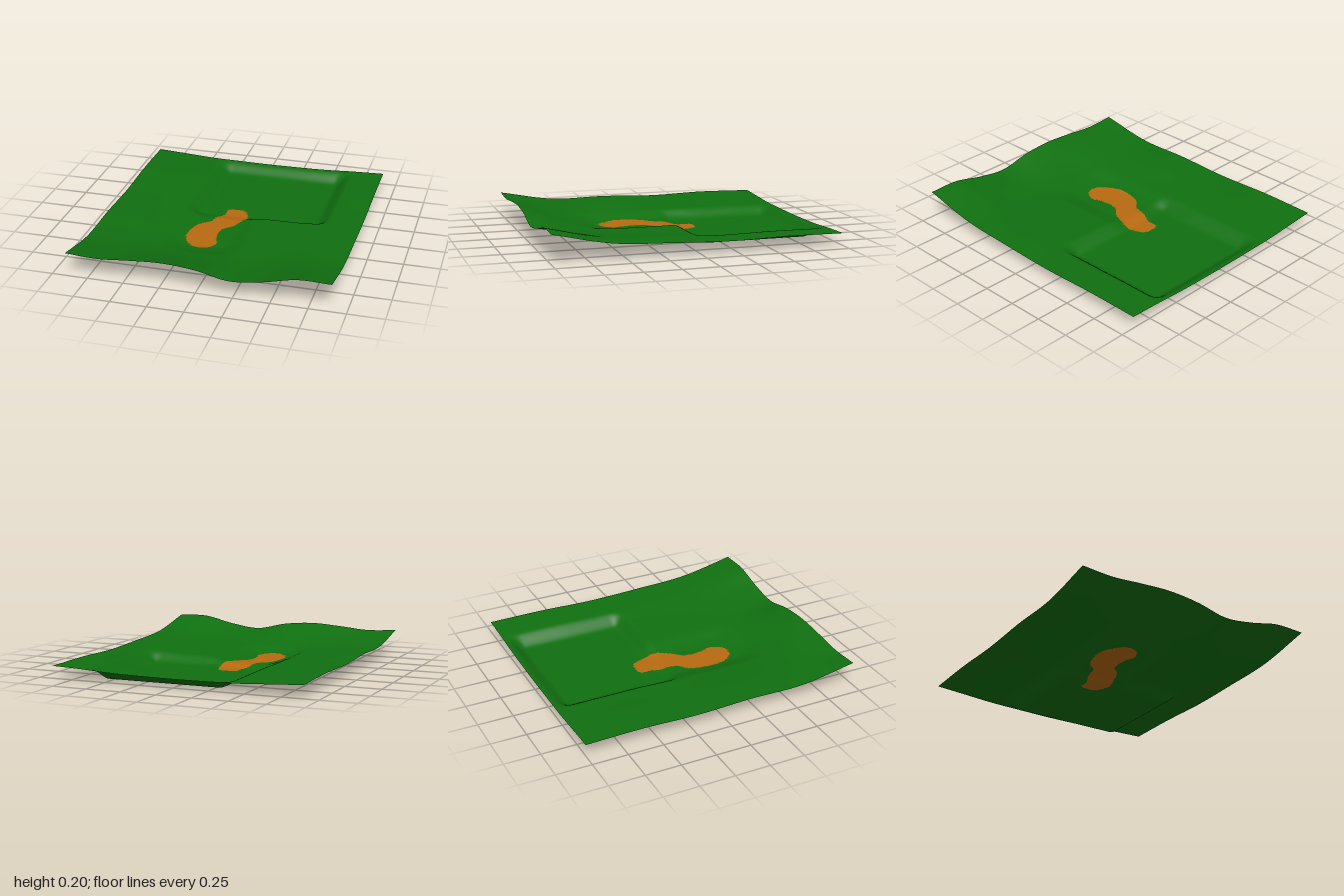
import * as THREE from 'three';

const WIDTH = 1.8, DEPTH = 2;

// Ground heights: rows run back to front, columns run along x
const HEIGHTS = [
  [.087, .075, .063, .06, .058, .06, .065, .077, .085],
  [.095, .085, .068, .06, .06, .06, .066, .08, .088],
  [.086, .08, .068, .06, .055, .06, .063, .075, .08],
  [.1, .09, .066, .045, .045, .06, .07, .088, .093],
  [.1, .098, .085, .066, .066, .07, .085, .11, .115],
  [.168, .157, .175, .187, .168, .122, .148, .197, .196],
];

// Outline of the dirt path as x, z pairs
const PATH = [
  [-.12, -.25], [0, -.25], [.05, -.14], [.03, -.03], [-.02, .06], [-.07, .11], [-.08, .2],
  [-.07, .27], [-.05, .32], [-.08, .4], [-.15, .43], [-.22, .4], [-.28, .3], [-.28, .16],
  [-.25, .07], [-.18, 0], [-.16, -.1], [-.13, -.16],
];

const smooth = THREE.MathUtils.smoothstep;
const lerp = THREE.MathUtils.lerp;

// Catmull-Rom interpolation along a list of evenly spaced values
function spline(values, t) {
  const last = values.length - 1;
  const u = THREE.MathUtils.clamp(t, 0, 1) * last;
  const i = Math.min(Math.floor(u), last - 1), f = u - i;
  const b = values[i], c = values[i + 1];
  const a = i > 0 ? values[i - 1] : 2 * b - c;
  const d = i + 2 <= last ? values[i + 2] : 2 * c - b;
  return b + 0.5 * f * (c - a + f * (2 * a - 5 * b + 4 * c - d + f * (3 * (b - c) + d - a)));
}

// One inside a box with soft edges, zero outside
const softBox = (x, z, [x0, x1, x2, x3], [z0, z1, z2, z3]) =>
  smooth(x, x0, x1) * (1 - smooth(x, x2, x3)) * smooth(z, z0, z1) * (1 - smooth(z, z2, z3));

function heightAt(x, z) {
  const rows = HEIGHTS.map((row) => spline(row, x / WIDTH + 0.5));
  let y = spline(rows, z / DEPTH + 0.5);
  // shallow valley around the path, then the flat sunken field behind it
  y = lerp(y, .022, softBox(x, z, [-.42, -.24, -.02, .17], [-.4, -.2, .36, .6]));
  return lerp(y, 0, softBox(x, z, [-.41, -.27, .54, .67], [-.99, -.86, -.16, -.04]));
}

// Even-odd test against a polygon
function inside(x, z, polygon) {
  let hit = false;
  polygon.forEach((p, i) => {
    const q = polygon[(i + 1) % polygon.length];
    if ((p.z > z) !== (q.z > z) && x < p.x + (q.x - p.x) * (z - p.z) / (q.z - p.z)) hit = !hit;
  });
  return hit;
}

export function createModel() {
  const grass = new THREE.MeshStandardMaterial({ color: 0x107010, side: THREE.DoubleSide });
  grass.name = 'grass';
  const dirt = new THREE.MeshStandardMaterial({ color: 0xb86a10, side: THREE.DoubleSide });
  dirt.name = 'dirt';

  // Rolling ground sheet
  const sheet = new THREE.PlaneGeometry(WIDTH, DEPTH, 144, 160).rotateX(-Math.PI / 2);
  const pos = sheet.attributes.position;
  for (let i = 0; i < pos.count; i++) pos.setY(i, heightAt(pos.getX(i), pos.getZ(i)));
  sheet.computeVertexNormals();

  // Share the faces out between grass and path
  const outline = new THREE.CatmullRomCurve3(
    PATH.map(([x, z]) => new THREE.Vector3(x, 0, z)), true).getPoints(90);
  const faces = { ground: [], path: [] };
  const index = sheet.index.array;
  for (let i = 0; i < index.length; i += 3) {
    const tri = [index[i], index[i + 1], index[i + 2]];
    const x = tri.reduce((s, k) => s + pos.getX(k), 0) / 3;
    const z = tri.reduce((s, k) => s + pos.getZ(k), 0) / 3;
    faces[inside(x, z, outline) ? 'path' : 'ground'].push(...tri);
  }

  const group = new THREE.Group();
  group.name = 'terrain';
  for (const [name, material] of [['ground', grass], ['path', dirt]]) {
    const geometry = new THREE.BufferGeometry();
    geometry.setAttribute('position', pos);
    geometry.setAttribute('normal', sheet.attributes.normal);
    geometry.setIndex(faces[name]);
    const mesh = new THREE.Mesh(geometry, material);
    mesh.name = name;
    group.add(mesh);
  }
  return group;
}
